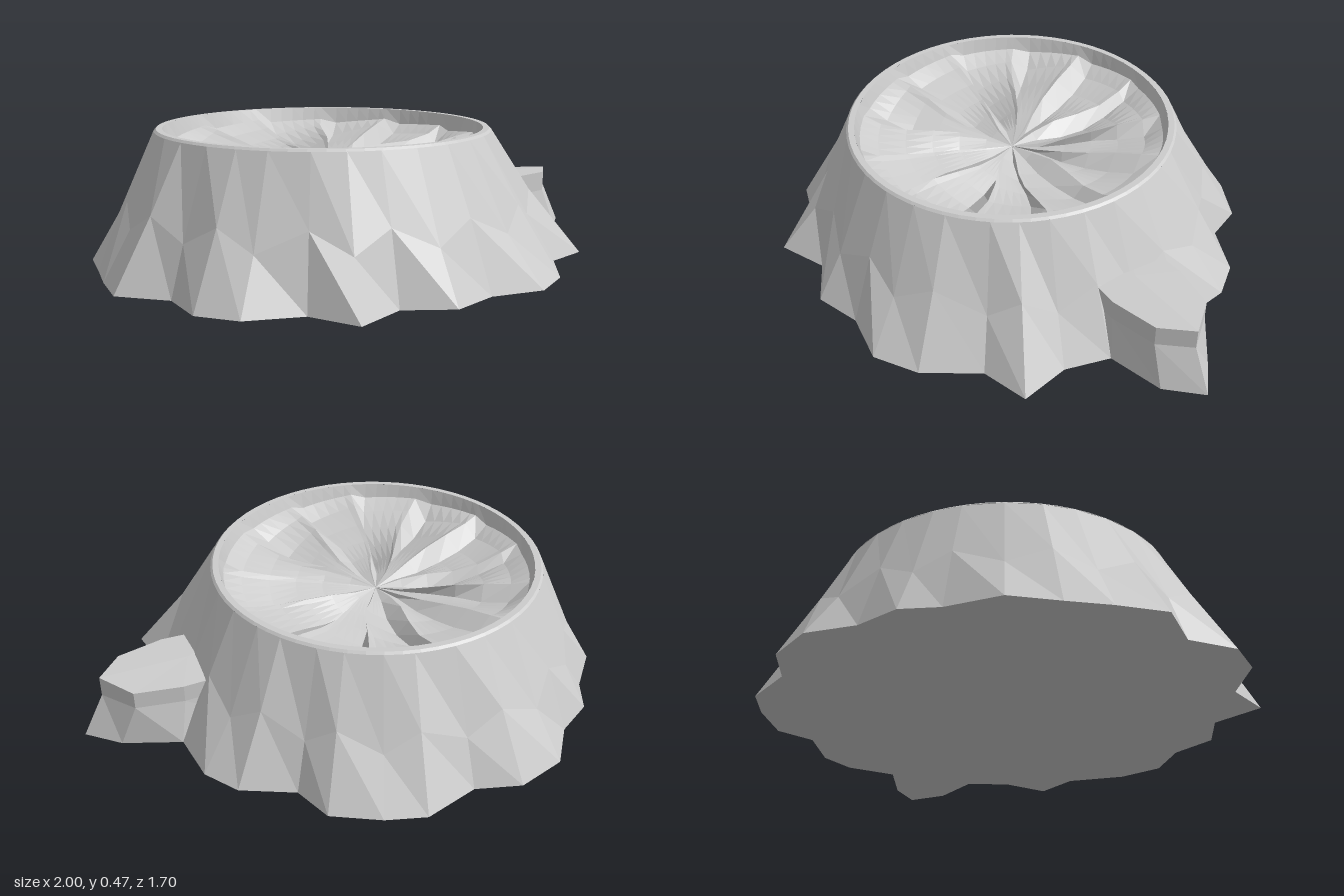
import * as THREE from 'three';

const CX = -0.14, TOP = 0.475;

// Skins a stack of closed loops (each an array of [x, y, z]) with flat facets
function skin(name, rows) {
  const pos = [], n = rows[0].length;
  for (let i = 0; i < rows.length - 1; i++) {
    for (let j = 0; j < n; j++) {
      const k = (j + 1) % n;
      const a = rows[i][j], b = rows[i][k], c = rows[i + 1][k], d = rows[i + 1][j];
      pos.push(...a, ...d, ...c, ...a, ...c, ...b);
    }
  }
  const g = new THREE.BufferGeometry();
  g.setAttribute('position', new THREE.Float32BufferAttribute(pos, 3));
  g.computeVertexNormals();
  const mesh = new THREE.Mesh(g, new THREE.MeshStandardMaterial({ color: 0xcccccc, flatShading: true }));
  mesh.name = name;
  return mesh;
}

// Jagged foot of the slope as [x, z], clockwise from the back
const foot = [
  [-0.30, -0.85], [-0.14, -0.80], [0.06, -0.855], [0.20, -0.81], [0.36, -0.72], [0.41, -0.58],
  [0.59, -0.49], [0.67, -0.37], [0.69, -0.18], [0.69, 0], [0.69, 0.16], [0.64, 0.32],
  [0.67, 0.50], [0.50, 0.55], [0.37, 0.73], [0.22, 0.82], [0.03, 0.79], [-0.14, 0.845],
  [-0.30, 0.76], [-0.48, 0.835], [-0.57, 0.67], [-0.76, 0.61], [-0.86, 0.49], [-0.86, 0.31],
  [-1, 0.17], [-0.98, 0], [-0.95, -0.15], [-0.92, -0.32], [-0.79, -0.46], [-0.73, -0.58],
  [-0.59, -0.66], [-0.48, -0.80],
];

function createSlope() {
  const polar = foot.map(([x, z]) => [Math.atan2(z, x - CX), Math.hypot(x - CX, z)]);
  const ring = (y, radius) => polar.map(([a, r], j) => {
    const q = radius(r, j);
    return [CX + q * Math.cos(a), typeof y === 'function' ? y(j) : y, q * Math.sin(a)];
  });
  return skin('slope', [
    ring(0, () => 0),
    ring(0, r => r),
    ring(j => (j % 2 ? 0.17 : 0.24), (r, j) => (j % 2 ? 0.69 : 0.66) + 0.3 * (r - 0.8)
      + (j % 2 ? 0.04 : 0.05)),
    ring(TOP - 0.008, () => 0.61),
  ]);
}

// Flat lip around the crater
function createLip() {
  const pts = [[0.61, TOP - 0.008], [0.602, TOP], [0.58, TOP]].map(p => new THREE.Vector2(...p));
  const mesh = new THREE.Mesh(new THREE.LatheGeometry(pts, 64),
    new THREE.MeshStandardMaterial({ color: 0xcccccc, flatShading: true, side: THREE.DoubleSide }));
  mesh.position.x = CX;
  mesh.name = 'craterLip';
  return mesh;
}

// Shallow bowl with curling stepped ridges running to the centre
function createCrater() {
  const sectors = 13, per = 6, n = sectors * per;
  // radius, height, ridge height
  const profile = [[0.58, TOP, 0], [0.565, 0.425, 0.012], [0.50, 0.395, 0.028], [0.40, 0.37, 0.035],
    [0.30, 0.355, 0.035], [0.20, 0.345, 0.03], [0.10, 0.34, 0.012], [0, 0.335, 0]];
  const rows = profile.map(([r, y, h], i) => Array.from({ length: n }, (_, j) => {
    const sector = Math.floor(j / per), step = j % per;
    const curl = 0.16 * Math.sin(r * 7 + sector * 1.9);
    const shift = step === per - 1 ? -0.03 : 0;
    const a = (j / n) * Math.PI * 2 + (i ? curl * (1 - r / 0.6) : 0) + shift;
    const vary = 0.65 + 0.35 * Math.sin(sector * 2.3 + i);
    const ridge = h * vary * (step / (per - 1) * 2 - 1);
    return [CX + r * Math.cos(a), y + ridge, r * Math.sin(a)];
  }));
  return skin('crater', rows);
}

// Flat-topped pointed ledge jutting from the +x side
function createLedge() {
  const base = [[0.4, -0.16], [0.69, -0.18], [0.89, -0.10], [1, 0], [0.89, 0.11], [0.69, 0.16], [0.4, 0.14]];
  const top = [[0.4, -0.14], [0.66, -0.15], [0.83, -0.12], [0.92, 0], [0.83, 0.10], [0.66, 0.14], [0.4, 0.13]];
  const at = (pts, y) => pts.map(([x, z]) => [x, y, z]);
  const middle = y => base.map(() => [0.6, y, 0]);
  const upper = top.map(([x, z]) => [x, z < -0.01 ? 0.218 : 0.23, z]);
  return skin('ledge', [middle(0), at(base, 0), at(top, 0.155), upper, middle(0.23)]);
}

export function createModel() {
  const model = new THREE.Group();
  model.name = 'craterMound';
  model.add(createSlope(), createLip(), createCrater(), createLedge());
  return model;
}
